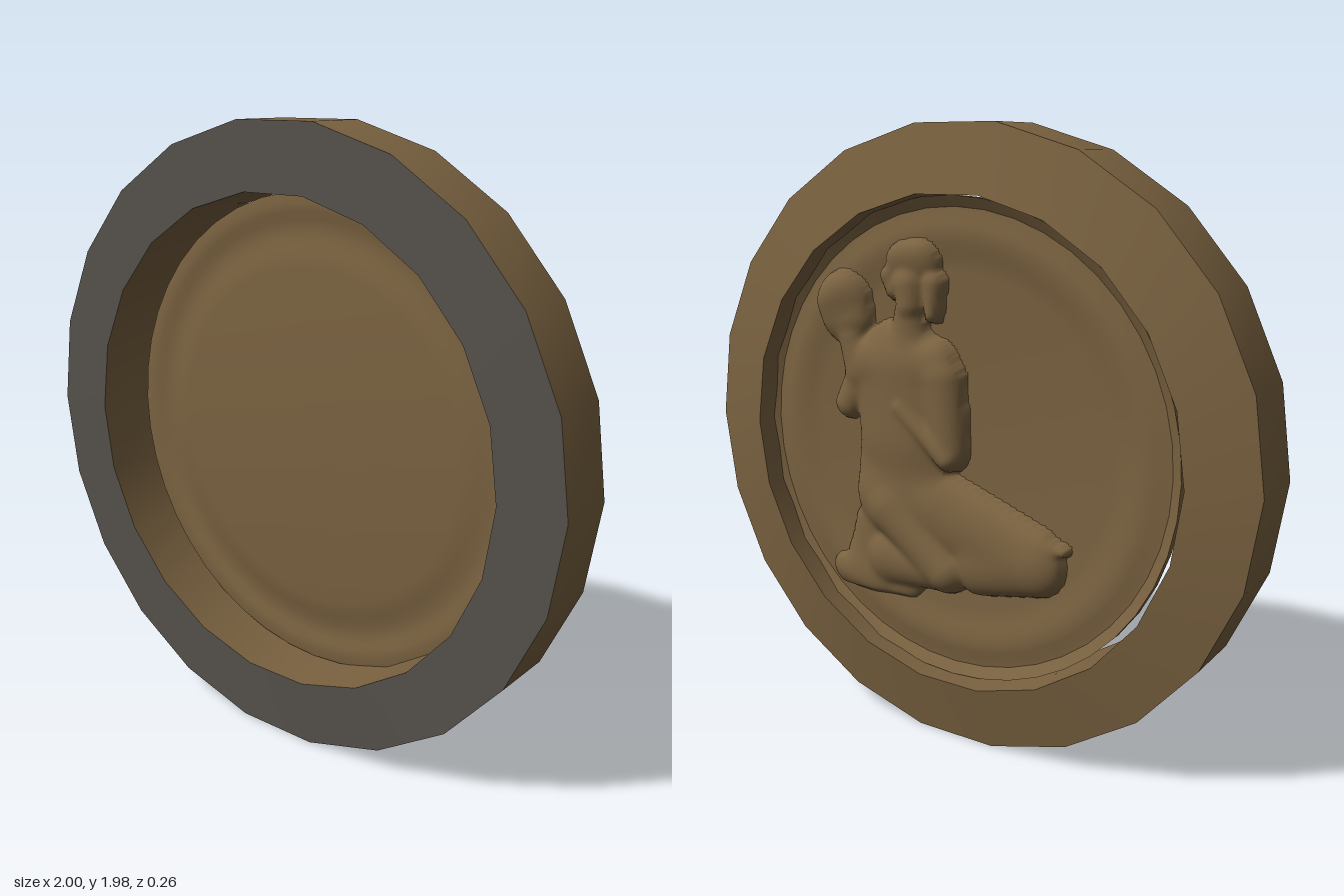
import * as THREE from 'three';
import { toCreasedNormals } from 'three/addons/utils/BufferGeometryUtils.js';

const CENTRE_Y = 0.99;
const PLATE_X = 0.025;

// Back surface of the plate at radius r: flat floor, then a low ring-shaped ridge
const { smoothstep } = THREE.MathUtils;
const dishZ = (r) => -0.041 - 0.018 * smoothstep(r, 0.55, 0.67) + 0.011 * smoothstep(r, 0.67, 0.745);

// Turns a (radius, z) profile around the z axis
function turned(profile, sides) {
  const points = profile.map(([r, z]) => new THREE.Vector2(r, z));
  const geometry = new THREE.LatheGeometry(points, sides, Math.PI / 2);
  geometry.rotateX(Math.PI / 2);
  return toCreasedNormals(geometry, 0.5);
}

// Limbs of the kneeling figure: start, end, start radius, end radius, height
const LIMBS = [
  // hair, face and neck
  [[0.2, 1.55], [0.15, 1.56], 0.08, 0.075, 0.05],
  [[0.26, 1.51], [0.25, 1.47], 0.045, 0.035, 0.045],
  [[0.1, 1.5], [0.1, 1.4], 0.045, 0.03, 0.05],
  [[0.19, 1.49], [0.18, 1.43], 0.065, 0.055, 0.07],
  [[0.19, 1.4], [0.2, 1.25], 0.06, 0.09, 0.06],
  // raised disc and arm
  [[0.455, 1.42], [0.445, 1.37], 0.105, 0.1, 0.065],
  [[0.42, 1.3], [0.39, 1.2], 0.06, 0.07, 0.06],
  [[0.35, 1.24], [0.45, 1.08], 0.08, 0.055, 0.05],
  // torso
  [[0.33, 1.23], [0.1, 1.24], 0.09, 0.09, 0.07],
  [[0.23, 1.18], [0.22, 1.0], 0.2, 0.18, 0.078],
  [[0.22, 1.0], [0.22, 0.82], 0.18, 0.2, 0.07],
  // lowered arm, folded across the chest
  [[0.07, 1.2], [0.04, 0.98], 0.085, 0.07, 0.076],
  [[0.03, 0.95], [0.2, 1.1], 0.05, 0.045, 0.084],
  // hips and far leg
  [[0.28, 0.78], [0.14, 0.77], 0.14, 0.13, 0.07],
  [[0.07, 0.75], [-0.26, 0.66], 0.15, 0.12, 0.07],
  [[-0.28, 0.64], [-0.07, 0.61], 0.1, 0.11, 0.066],
  [[-0.25, 0.73], [-0.38, 0.71], 0.05, 0.02, 0.04],
  // near leg
  [[0.26, 0.75], [0.05, 0.57], 0.11, 0.085, 0.088],
  [[0.05, 0.56], [0.28, 0.57], 0.075, 0.1, 0.066],
  // draped seat and foot
  [[0.34, 0.66], [0.35, 0.55], 0.1, 0.12, 0.04],
  [[0.22, 0.5], [0.47, 0.49], 0.07, 0.06, 0.03],
];

// Dome height of one limb above the plate, negative outside it
function limbHeight(x, y, [[ax, ay], [bx, by], ra, rb, h]) {
  const dx = bx - ax, dy = by - ay;
  const t = THREE.MathUtils.clamp(((x - ax) * dx + (y - ay) * dy) / (dx * dx + dy * dy), 0, 1);
  const q = Math.hypot(x - ax - t * dx, y - ay - t * dy) / THREE.MathUtils.lerp(ra, rb, t);
  return q < 1 ? h * Math.sqrt(1 - q * q) : (1 - q) * 0.15;
}

// Blends all limbs into one sculpted surface, raised towards -z
function reliefGeometry() {
  const x0 = -0.5, y0 = 0.36, step = 0.01, cols = 114, rows = 132;
  const sharpness = 150, sunk = -0.007;
  const positions = [], heights = [], indices = [];
  for (let j = 0; j <= rows; j++) {
    for (let i = 0; i <= cols; i++) {
      const x = x0 + i * step, y = y0 + j * step;
      const sum = LIMBS.reduce((s, limb) => s + Math.exp(sharpness * limbHeight(x, y, limb)), 0);
      const height = Math.max(Math.log(sum) / sharpness, sunk);
      heights.push(height);
      positions.push(x, y, dishZ(Math.hypot(x - PLATE_X, y - CENTRE_Y)) - height);
    }
  }
  for (let j = 0; j < rows; j++) {
    for (let i = 0; i < cols; i++) {
      const a = j * (cols + 1) + i, b = a + 1, c = a + cols + 1, d = c + 1;
      if (Math.max(heights[a], heights[b], heights[c], heights[d]) > sunk) {
        indices.push(a, c, b, b, c, d);
      }
    }
  }
  const geometry = new THREE.BufferGeometry();
  geometry.setAttribute('position', new THREE.Float32BufferAttribute(positions, 3));
  geometry.setIndex(indices);
  geometry.computeVertexNormals();
  return geometry;
}

export function createModel() {
  const model = new THREE.Group();
  model.name = 'medallion';
  const bronze = new THREE.MeshStandardMaterial({ color: 0x7a6240 });
  bronze.name = 'bronze';
  const grey = new THREE.MeshStandardMaterial({ color: 0x55514b });
  grey.name = 'dark grey';

  const add = (name, geometry, material) => {
    const mesh = new THREE.Mesh(geometry, material);
    mesh.name = name;
    model.add(mesh);
    return mesh;
  };

  // Heavy 22-sided frame: hole, bevelled back and outer wall
  const frame = turned([[0.79, 0.13], [0.79, -0.135], [1, -0.09], [1, 0.125]], 22);
  add('frame', frame, bronze).position.y = CENTRE_Y;
  const face = turned([[1, 0.125], [0.79, 0.13]], 22);
  add('frameFrontFace', face, grey).position.y = CENTRE_Y;

  // Thin plate with a raised rim, set slightly to one side in the frame
  const radii = [0, 0.55, 0.58, 0.61, 0.64, 0.67, 0.695, 0.72, 0.745];
  const back = radii.map((r) => [r, dishZ(r)]);
  const front = radii.map((r) => [r, dishZ(r) + 0.01]).reverse();
  const plate = turned([...back, [0.78, -0.072], [0.78, -0.044], ...front], 44);
  add('dishedPlate', plate, bronze).position.set(PLATE_X, CENTRE_Y, 0);

  // Kneeling figure in low relief on the back
  add('reliefFigure', reliefGeometry(), bronze);

  return model;
}
